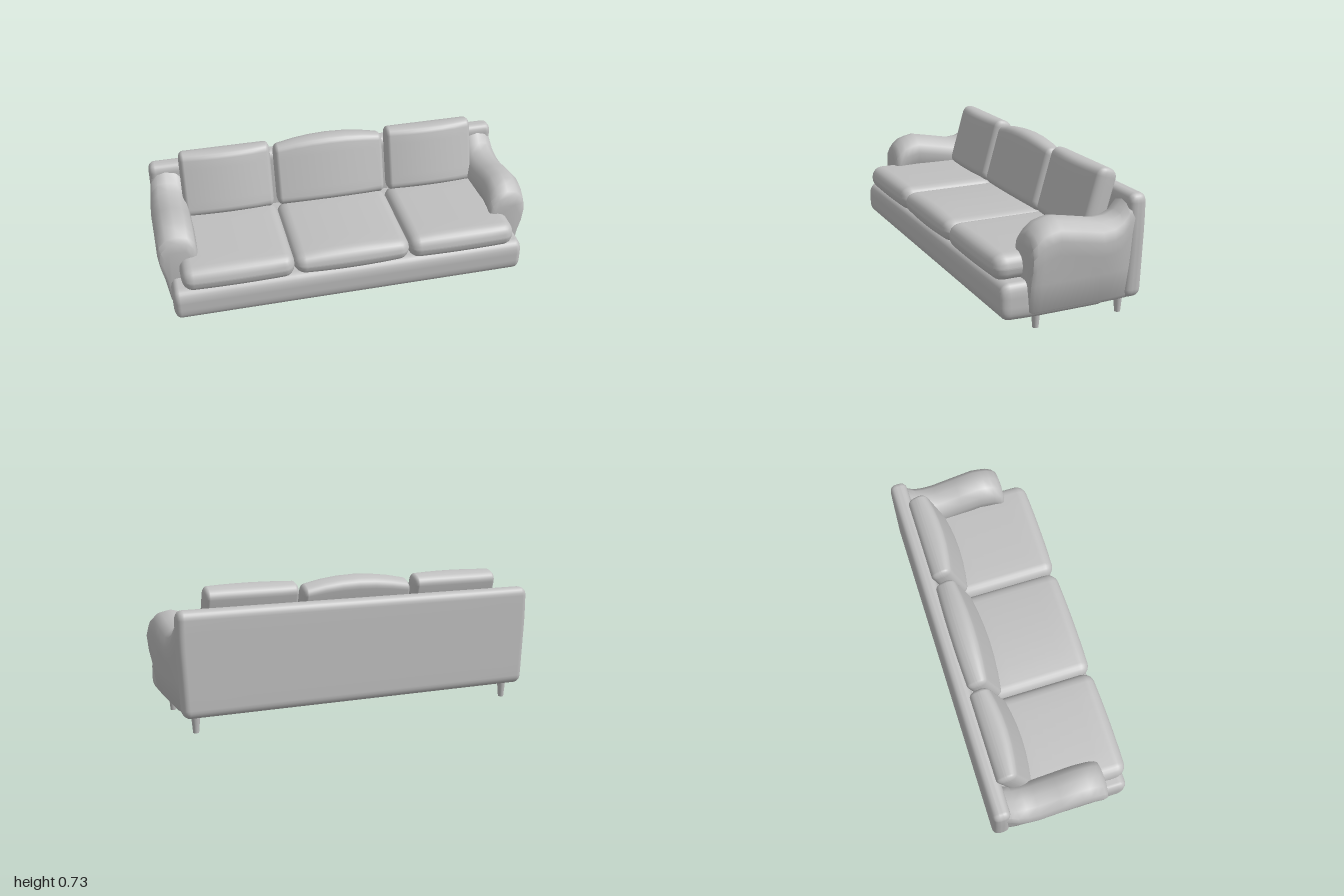
import * as THREE from 'three';
import { mergeVertices, toCreasedNormals } from 'three/addons/utils/BufferGeometryUtils.js';

const upholstery = new THREE.MeshStandardMaterial({ color: 0xbfbfbf });
upholstery.name = 'greyUpholstery';

// Soft box: rounded by a separate radius on each axis, then shaped by an optional warp.
// The warp gets the point and its position u, v, w in -1..1 across the box.
function softBox(size, radii, warp) {
  const geo = new THREE.BoxGeometry(2, 2, 2, 12, 12, 12);
  geo.deleteAttribute('uv');
  geo.deleteAttribute('normal');
  const pos = geo.attributes.position;
  const p = new THREE.Vector3();
  const core = new THREE.Vector3();
  const dir = new THREE.Vector3();
  for (let i = 0; i < pos.count; i++) {
    p.fromBufferAttribute(pos, i);
    ['x', 'y', 'z'].forEach((axis, a) => {
      const half = size[a] / 2;
      const inner = half - radii[a];
      const u = Math.abs(p[axis]);
      const s = Math.sign(p[axis]);
      // half of the grid covers the flat part, half the rounded edges
      core[axis] = s * inner * Math.min(1, u * 2);
      dir[axis] = s * Math.max(0, u * 2 - 1);
    });
    if (dir.lengthSq() > 0) dir.normalize();
    p.set(core.x + dir.x * radii[0], core.y + dir.y * radii[1], core.z + dir.z * radii[2]);
    if (warp) warp(p, (2 * p.x) / size[0], (2 * p.y) / size[1], (2 * p.z) / size[2]);
    pos.setXYZ(i, p.x, p.y, p.z);
  }
  const merged = mergeVertices(geo, 1e-5);
  merged.computeVertexNormals();
  return merged;
}

// Cross-section of the left arm: side panel below, fat roll above; t is the top height.
function armSection(t) {
  return [
    [0.84, 0.085], [0.93, 0.085], [0.953, 0.11], [0.974, 0.25], [0.992, t - 0.17],
    [1.0, t - 0.1], [0.988, t - 0.05], [0.95, t - 0.012], [0.895, t], [0.84, t - 0.014],
    [0.805, t - 0.05], [0.793, t - 0.1], [0.805, t - 0.16], [0.83, t - 0.21], [0.83, 0.1],
  ];
}

// Arm stations from front to back: z, top height, inset, outward narrowing
const armStations = [
  [0.238, 0.455, 0.024, 0], [0.23, 0.485, 0.007, 0], [0.21, 0.505, 0, 0],
  [0.175, 0.534, 0, 0], [0.135, 0.547, 0, 0], [0.09, 0.556, 0, 0],
  [-0.02, 0.536, 0, 0], [-0.14, 0.513, 0, 0], [-0.2, 0.518, 0, 0.003],
  [-0.25, 0.54, 0, 0.008], [-0.285, 0.582, 0, 0.015], [-0.315, 0.61, 0, 0.02],
  [-0.35, 0.618, 0.005, 0.024],
];

// Loft through the arm stations, closed at both ends
function armGeometry(side) {
  const verts = [];
  const index = [];
  const n = armSection(0.5).length;
  for (const [z, t, inset, narrow] of armStations) {
    for (const [x, y] of armSection(t)) {
      const px = 0.895 + (x - 0.895) * (1 - inset / 0.1) - narrow * Math.max(0, (x - 0.895) / 0.1);
      const py = 0.3 + (y - 0.3) * (1 - inset / 0.22);
      verts.push(side * px, py, z);
    }
  }
  const face = (a, b, c) => (side > 0 ? index.push(a, b, c) : index.push(a, c, b));
  const last = armStations.length - 1;
  for (let s = 0; s < last; s++) {
    for (let i = 0; i < n; i++) {
      const j = (i + 1) % n;
      const a = s * n + i;
      const b = s * n + j;
      face(a, a + n, b);
      face(b, a + n, b + n);
    }
  }
  const outline = armSection(0.5).map(([x, y]) => new THREE.Vector2(x, y));
  for (const [a, b, c] of THREE.ShapeUtils.triangulateShape(outline, [])) {
    face(a, b, c);
    face(last * n + a, last * n + c, last * n + b);
  }
  const geo = new THREE.BufferGeometry();
  geo.setAttribute('position', new THREE.Float32BufferAttribute(verts, 3));
  geo.setIndex(index);
  return toCreasedNormals(geo, 0.75);
}

export function createModel() {
  const sofa = new THREE.Group();
  sofa.name = 'sofa';
  const add = (name, geo, x = 0, y = 0, z = 0) => {
    const mesh = new THREE.Mesh(geo, upholstery);
    mesh.name = name;
    mesh.position.set(x, y, z);
    sofa.add(mesh);
    return mesh;
  };

  // Base with a padded front rail, and the frame behind it
  add('baseRail', softBox([1.9, 0.19, 0.575], [0.035, 0.06, 0.05], (p, u, v, w) => {
    if (v < 0 && w > 0.4) p.y += 0.012 * (w - 0.4);
  }), 0, 0.17, 0.085);
  add('rearFrame', new THREE.BoxGeometry(1.84, 0.2, 0.32), 0, 0.187, -0.18);

  // Back panel, slightly narrower towards the floor
  add('backPanel', softBox([1.96, 0.535, 0.095], [0.035, 0.045, 0.035], (p, u, v) => {
    p.x *= 0.985 + 0.015 * Math.min(1, v + 0.6);
  }), 0, 0.357, -0.335);

  // Rolled arms
  add('leftArm', armGeometry(1));
  add('rightArm', armGeometry(-1));

  // Seat and back cushions, left, middle and right
  for (const [side, label] of [[1, 'left'], [0, 'middle'], [-1, 'right']]) {
    const middle = side === 0;
    const seatWidth = middle ? 0.625 : 0.59;
    add(`${label}SeatCushion`, softBox([seatWidth, 0.14, 0.575], [0.06, 0.066, 0.065], (p, u, v) => {
      p.y *= 1 - (middle ? 0.22 : 0.08) * u * u;
      p.z += (0.004 - 0.008 * u * u) * (1 - v * v);
    }), side * 0.602, 0.32, 0.093);

    const backWidth = middle ? 0.61 : 0.495;
    const pillow = add(`${label}BackCushion`,
      softBox([backWidth, 0.365, 0.125], [0.025, 0.045, 0.055], (p, u, v, w) => {
        if (w > 0) p.z += w * (0.012 - 0.03 * u * u);
        if (v > 0 && middle) p.y += v * (0.012 - 0.038 * u * u);
      }), side * 0.572, 0.542, -0.213);
    pillow.rotation.x = -0.28;
  }

  // Tapered legs
  const legGeo = new THREE.CylinderGeometry(0.024, 0.015, 0.1, 16);
  for (const x of [-0.882, 0.882]) {
    add('frontLeg', legGeo, x, 0.05, 0.16);
    add('backLeg', legGeo, x, 0.05, -0.296);
  }
  return sofa;
}
